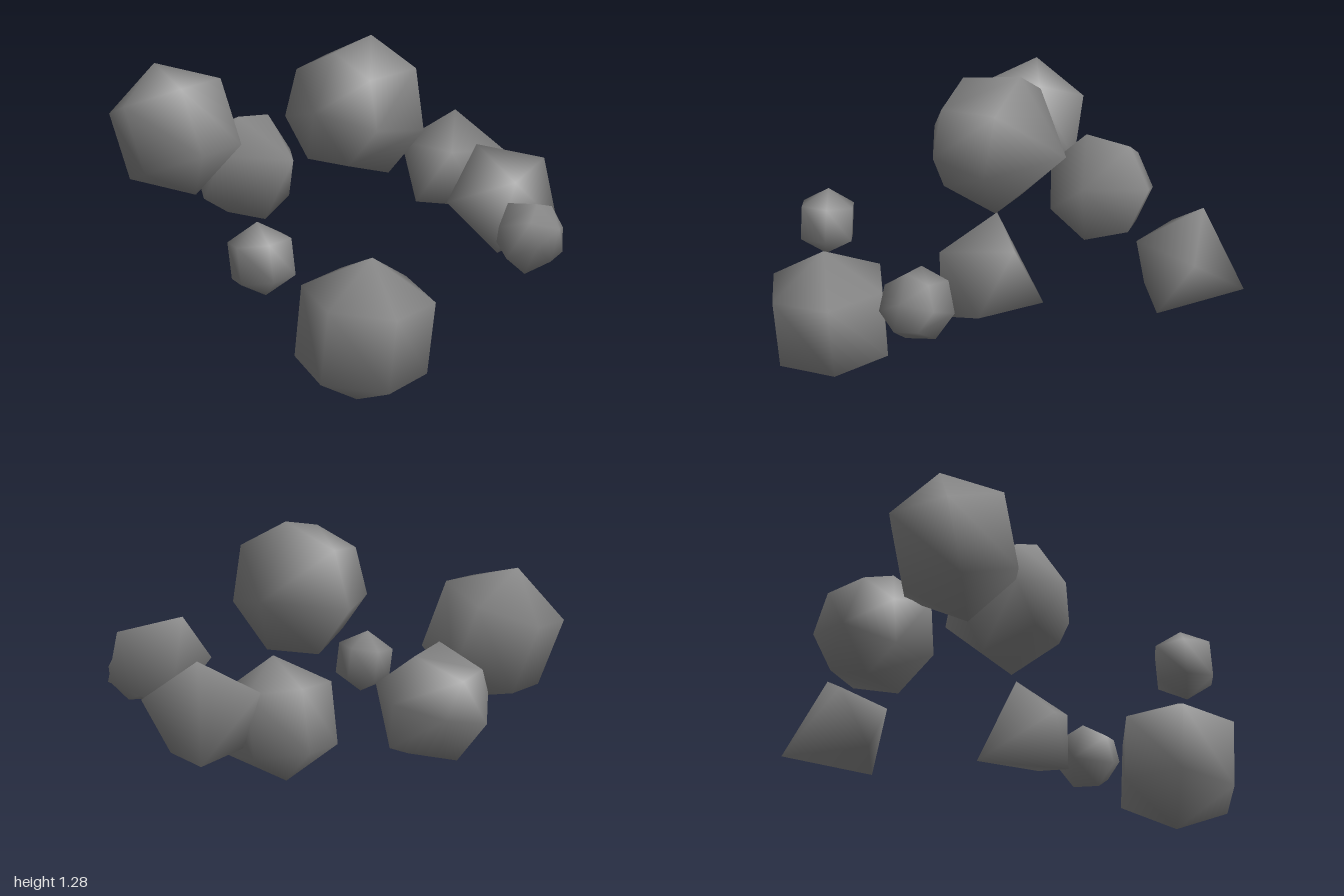
import * as THREE from 'three';

const stone = new THREE.MeshStandardMaterial({ color: 0x888888 });
stone.name = 'grey stone';

// Coarse smooth-shaded ball: rings every 360/n degrees from the first pole, closed by the far pole.
function rockGeometry(n, radius, axis, spoke) {
  const a = new THREE.Vector3(...axis).normalize();
  const u = new THREE.Vector3(...spoke);
  u.addScaledVector(a, -u.dot(a)).normalize();
  const v = new THREE.Vector3().crossVectors(a, u);
  const rings = Math.floor(n / 2) - 1;
  const step = (2 * Math.PI) / n;
  const points = [a.clone()];
  for (let i = 1; i <= rings; i++) {
    for (let j = 0; j < n; j++) {
      const s = Math.sin(i * step);
      points.push(new THREE.Vector3()
        .addScaledVector(a, Math.cos(i * step))
        .addScaledVector(u, s * Math.cos(j * step))
        .addScaledVector(v, s * Math.sin(j * step)));
    }
  }
  points.push(a.clone().negate());
  const far = points.length - 1;
  const at = (i, j) => 1 + i * n + (j % n);
  const index = [];
  for (let j = 0; j < n; j++) {
    index.push(0, at(0, j), at(0, j + 1));
    for (let i = 0; i < rings - 1; i++) {
      index.push(at(i, j), at(i + 1, j), at(i + 1, j + 1));
      index.push(at(i, j), at(i + 1, j + 1), at(i, j + 1));
    }
    index.push(at(rings - 1, j), far, at(rings - 1, j + 1));
  }
  const geometry = new THREE.BufferGeometry();
  geometry.setFromPoints(points.map((p) => p.multiplyScalar(radius)));
  geometry.setIndex(index);
  geometry.computeVertexNormals();
  return geometry;
}

// Each rock: sides, radius, centre, pole direction, direction of one ring corner
const rocks = [
  { name: 'topRock', n: 7, r: 0.3, at: [0.055, 1.0, 0.06], axis: [0, 0.1, 1], spoke: [0, 1, 0] },
  { name: 'leftFrontRock', n: 6, r: 0.295, at: [-0.74, 0.838, 0.29], axis: [-0.365, 0.93, 0], spoke: [0, 0, 1] },
  { name: 'leftBackRock', n: 7, r: 0.25, at: [-0.66, 0.6, -0.11], axis: [-0.97, -0.24, 0.03], spoke: [0.24, -0.97, 0.14] },
  { name: 'backRock', n: 5, r: 0.255, at: [-0.01, 0.562, -0.762], axis: [0.48, 0.46, 0.75], spoke: [-0.087, -0.175, 0.177] },
  { name: 'rightRock', n: 5, r: 0.255, at: [0.607, 0.635, -0.165], axis: [0.6, 0.53, 0.57], spoke: [-0.118, 0.205, 0.005] },
  { name: 'rightSmallRock', n: 7, r: 0.15, at: [0.855, 0.585, 0.035], axis: [0.94, 0.34, 0], spoke: [0, -0.09, -1] },
  { name: 'frontRock', n: 6, r: 0.297, at: [0.495, 0.297, 0.633], axis: [0.12, 0.99, 0], spoke: [0, 0, 1] },
  { name: 'frontSmallRock', n: 6, r: 0.144, at: [0.157, 0.57, 0.832], axis: [-0.13, 0.99, 0], spoke: [0.06, 0, -1] },
];

export function createModel() {
  const group = new THREE.Group();
  group.name = 'rockCluster';
  for (const { name, n, r, at, axis, spoke } of rocks) {
    const rock = new THREE.Mesh(rockGeometry(n, r, axis, spoke), stone);
    rock.name = name;
    rock.position.set(...at);
    group.add(rock);
  }
  return group;
}
